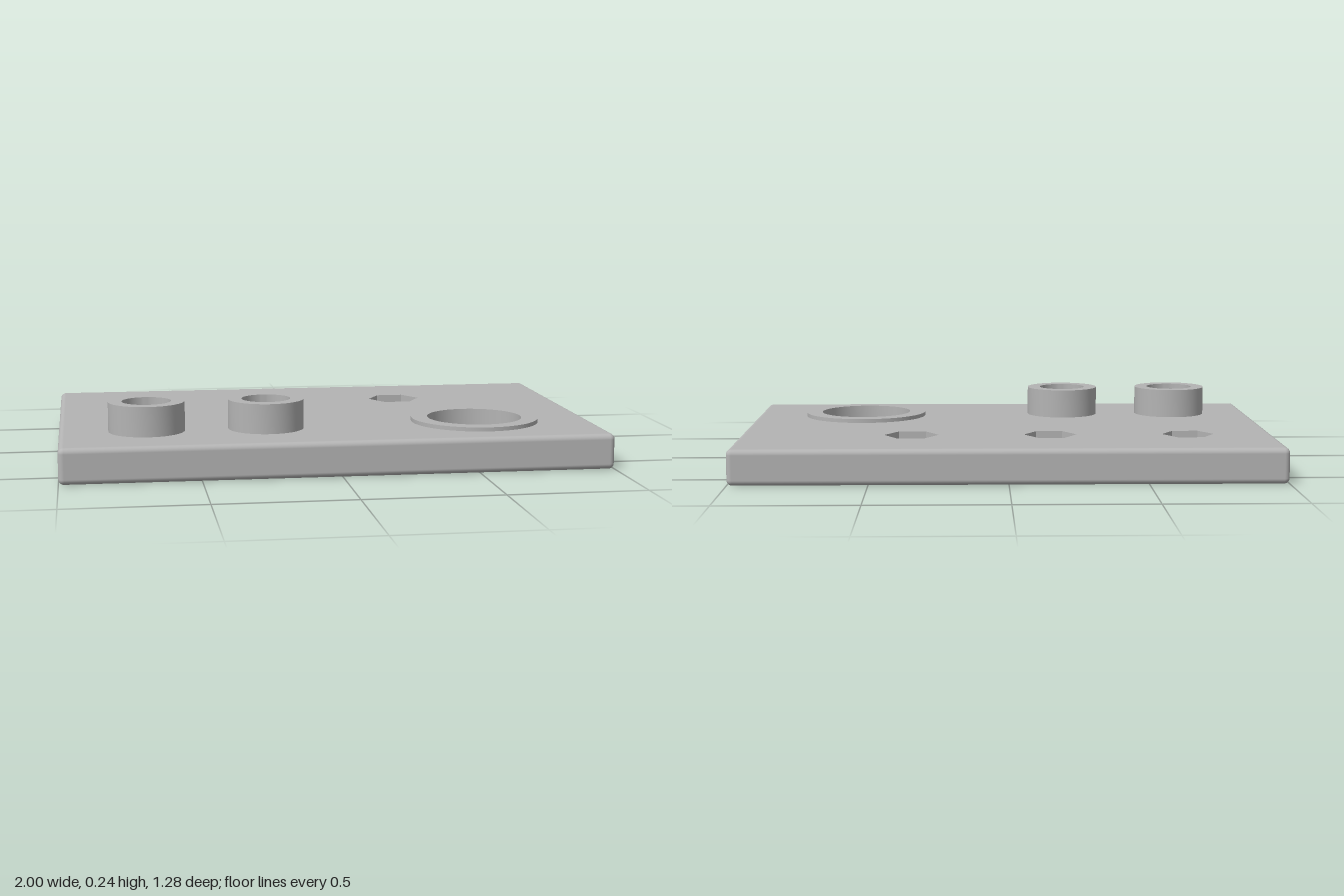
import * as THREE from 'three';
import { toCreasedNormals } from 'three/addons/utils/BufferGeometryUtils.js';
import { RoundedBoxGeometry } from 'three/addons/geometries/RoundedBoxGeometry.js';

const TOP = 0.13, WIDTH = 2, DEPTH = 1.28, EDGE = 0.02;
const POCKET_FLOOR = 0.06, BOLT_R = 0.051;
const SIDES = 64;

const boltSeats = [
  { x: -0.68, z: -0.285, r: 0.097 },
  { x: -0.163, z: -0.285, r: 0.099 },
  { x: 0.357, z: -0.285, r: 0.102 },
];
const bosses = [{ x: -0.68, z: 0.32 }, { x: -0.24, z: 0.32 }];
const port = { x: 0.56, z: 0.28, r: 0.178, outer: 0.24, top: 0.145 };

// Regular polygon points with a corner on +x
function polygon(x, z, r, n) {
  return Array.from({ length: n }, (_, i) => {
    const a = (i / n) * Math.PI * 2;
    return new THREE.Vector2(x + r * Math.cos(a), z + r * Math.sin(a));
  });
}

// Flat horizontal face with holes, looking up or down
function flatFace(outline, holes, y, up) {
  const place = (pts) => pts.map((p) => new THREE.Vector2(p.x, up ? -p.y : p.y));
  const shape = new THREE.Shape(place(outline));
  shape.holes = holes.map((h) => new THREE.Path(place(h)));
  return new THREE.ShapeGeometry(shape).rotateX(up ? -Math.PI / 2 : Math.PI / 2).translate(0, y, 0);
}

// Turned surface; a profile running downwards faces the axis
function turned(profile, x, z, sides = SIDES) {
  const pts = profile.map(([r, y]) => new THREE.Vector2(r, y));
  const lathe = new THREE.LatheGeometry(pts, sides, Math.PI / 2);
  return toCreasedNormals(lathe, 0.5).translate(x, 0, z);
}

// Rounded block without its flat top and bottom, which carry the holes
function plateRim() {
  const box = new RoundedBoxGeometry(WIDTH, TOP, DEPTH, 4, EDGE);
  const src = box.index ? box.toNonIndexed() : box;
  const p = src.attributes.position, n = src.attributes.normal;
  const positions = [], normals = [];
  for (let i = 0; i < p.count; i += 3) {
    const flat = [0, 1, 2].every((k) => Math.abs(p.getY(i + k)) > TOP / 2 - 1e-5);
    if (flat) continue;
    for (let k = i; k < i + 3; k++) {
      positions.push(p.getX(k), p.getY(k), p.getZ(k));
      normals.push(n.getX(k), n.getY(k), n.getZ(k));
    }
  }
  const rim = new THREE.BufferGeometry();
  rim.setAttribute('position', new THREE.Float32BufferAttribute(positions, 3));
  rim.setAttribute('normal', new THREE.Float32BufferAttribute(normals, 3));
  return rim.translate(0, TOP / 2, 0);
}

export function createModel() {
  const model = new THREE.Group();
  model.name = 'mountingPlate';
  const grey = new THREE.MeshStandardMaterial({ color: 0xb4b4b4 });
  grey.name = 'plain grey';

  const add = (name, geometry, parent = model) => {
    const mesh = new THREE.Mesh(geometry, grey);
    mesh.name = name;
    parent.add(mesh);
  };

  // Plate body
  const hx = WIDTH / 2 - EDGE, hz = DEPTH / 2 - EDGE;
  const outline = [[-hx, -hz], [hx, -hz], [hx, hz], [-hx, hz]].map(([x, z]) => new THREE.Vector2(x, z));
  const portHole = polygon(port.x, port.z, port.r, SIDES);
  const hexHoles = boltSeats.map((s) => polygon(s.x, s.z, s.r, 6));
  const boltHoles = boltSeats.map((s) => polygon(s.x, s.z, BOLT_R, SIDES));
  add('plateRim', plateRim());
  add('plateTop', flatFace(outline, [portHole, ...hexHoles], TOP, true));
  add('plateBottom', flatFace(outline, [portHole, ...boltHoles], 0, false));

  // Hexagonal nut pockets with round bolt holes through the floor
  boltSeats.forEach((s, i) => {
    const seat = new THREE.Group();
    seat.name = `nutPocket${i + 1}`;
    model.add(seat);
    add('pocketWall', turned([[s.r, TOP], [s.r, POCKET_FLOOR]], s.x, s.z, 6), seat);
    add('pocketFloor', flatFace(hexHoles[i], [boltHoles[i]], POCKET_FLOOR, true), seat);
    add('boltHole', turned([[BOLT_R, POCKET_FLOOR], [BOLT_R, 0]], s.x, s.z), seat);
  });

  // Hollow round bosses, closed at the plate
  bosses.forEach((b, i) => {
    const profile = [[0.14, TOP], [0.14, 0.24], [0.09, 0.24], [0.09, TOP]];
    add(`boss${i + 1}`, turned(profile, b.x, b.z));
  });

  // Raised collar and the wall of the large through hole
  const collar = [[port.outer, TOP], [port.outer, port.top], [port.r, port.top], [port.r, 0]];
  add('portCollar', turned(collar, port.x, port.z));

  return model;
}
